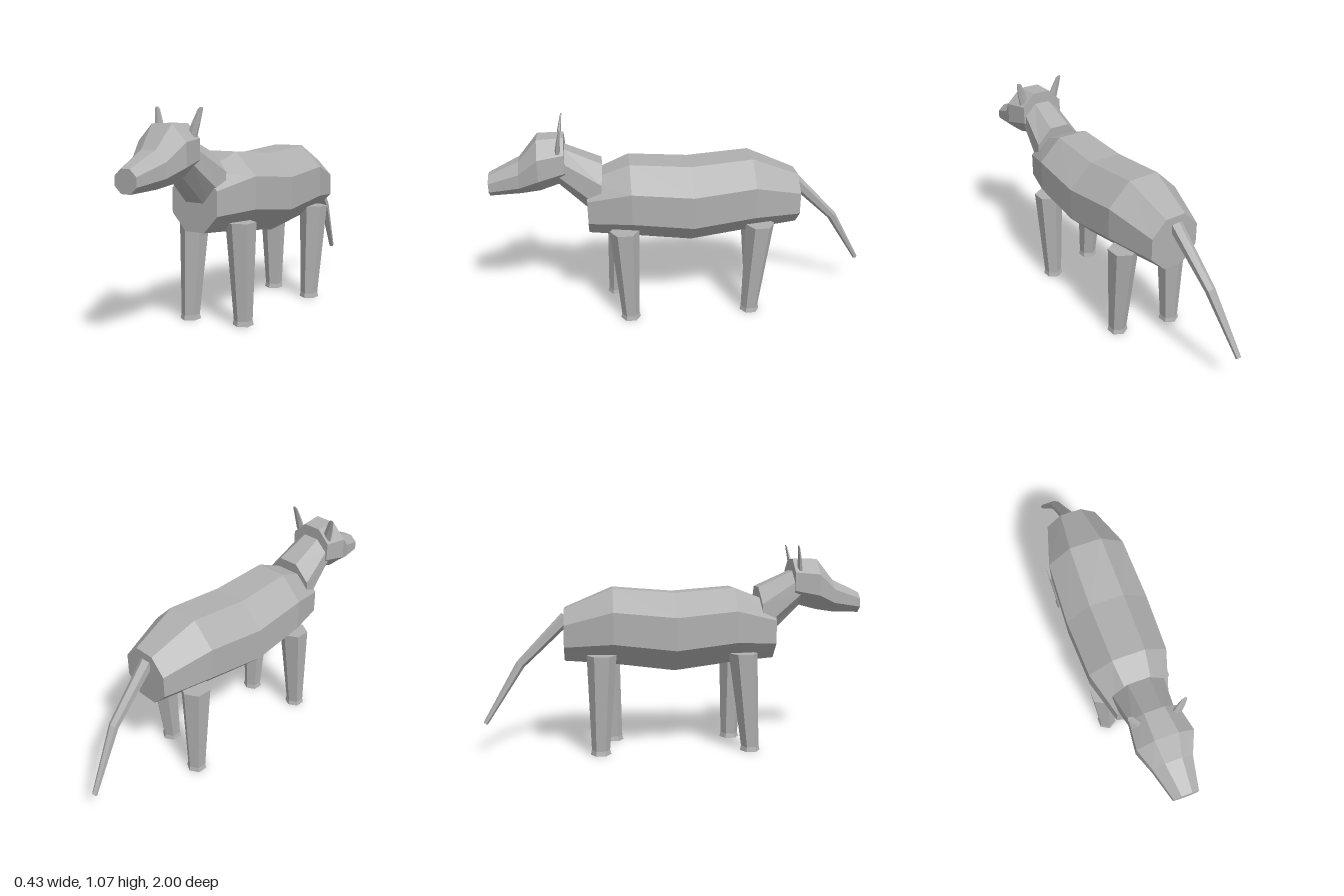
import * as THREE from 'three';

// Skin a row of rings. Each ring: { c: centre, rx: radius along x, v: second radius as a vector }.
// Rings must advance in the direction x cross v.
function loft(rings, sides, phase) {
  const pos = [];
  const idx = [];
  for (const { c, rx, v } of rings) {
    for (let j = 0; j < sides; j++) {
      const a = phase + (j / sides) * Math.PI * 2;
      const s = Math.sin(a);
      pos.push(c[0] + Math.cos(a) * rx, c[1] + s * v[1], c[2] + s * v[2]);
    }
  }
  for (let i = 0; i < rings.length - 1; i++) {
    for (let j = 0; j < sides; j++) {
      const k = (j + 1) % sides;
      const a = i * sides + j, b = i * sides + k;
      idx.push(a, b, b + sides, a, b + sides, a + sides);
    }
  }
  // End caps
  const last = (rings.length - 1) * sides;
  for (let j = 1; j < sides - 1; j++) {
    idx.push(0, j + 1, j);
    idx.push(last, last + j, last + j + 1);
  }
  const g = new THREE.BufferGeometry();
  g.setAttribute('position', new THREE.Float32BufferAttribute(pos, 3));
  g.setIndex(idx);
  const flat = g.toNonIndexed();
  flat.computeVertexNormals();
  return flat;
}

const OCT = Math.PI / 8;
const FLAT = Math.cos(OCT);

// Octagonal ring given by its half width and its top and bottom points
function octRing(x, halfW, yTop, zTop, yBottom, zBottom) {
  return {
    c: [x, (yTop + yBottom) / 2, (zTop + zBottom) / 2],
    rx: halfW / FLAT,
    v: [0, (yTop - yBottom) / 2 / FLAT, (zTop - zBottom) / 2 / FLAT],
  };
}

export function createModel() {
  const grey = new THREE.MeshStandardMaterial({ color: 0xb0b0b0 });
  grey.name = 'plainGrey';
  grey.flatShading = true;

  const group = new THREE.Group();
  group.name = 'animal';
  const add = (name, geometry) => {
    const mesh = new THREE.Mesh(geometry, grey);
    mesh.name = name;
    group.add(mesh);
  };

  // Body, rump to chest: z, half width, top, bottom
  const body = [
    [-0.58, 0.135, 0.75, 0.48],
    [-0.33, 0.203, 0.855, 0.465],
    [-0.01, 0.216, 0.83, 0.425],
    [0.30, 0.203, 0.855, 0.465],
    [0.52, 0.135, 0.77, 0.48],
  ];
  add('body', loft(body.map(([z, w, t, b]) => octRing(0, w, t, z, b, z)), 8, OCT));

  // Neck, tapering up into the head
  add('neck', loft([
    octRing(0, 0.133, 0.855, 0.436, 0.565, 0.462),
    octRing(0, 0.105, 0.94, 0.622, 0.765, 0.665),
  ], 8, OCT));

  // Head, back of skull to nose, turned slightly: x, z, half width, top, bottom
  const head = [
    [0, 0.62, 0.118, 1.0, 0.77],
    [0.009, 0.75, 0.139, 1.0, 0.735],
    [0.014, 0.845, 0.1, 0.89, 0.72],
    [0.025, 1.0, 0.062, 0.82, 0.713],
  ];
  add('head', loft(head.map(([x, z, w, t, b]) => octRing(x, w, t, z, b, z)), 8, OCT));

  // Ears: flat tapered blades leaning outward
  for (const [name, s] of [['leftEar', 1], ['rightEar', -1]]) {
    const x = (d) => 0.006 + s * d;
    add(name, loft([
      { c: [x(0.09), 0.94, 0.65], rx: 0.03, v: [0, 0, -0.014] },
      { c: [x(0.108), 1.0, 0.643], rx: 0.025, v: [0, 0, -0.009] },
      { c: [x(0.126), 1.062, 0.632], rx: 0.016, v: [0, 0, -0.004] },
      { c: [x(0.13), 1.072, 0.63], rx: 0.009, v: [0, 0, -0.003] },
    ], 6, Math.PI / 6));
  }

  // Legs in a slight stride, each with a flared hoof: x, top z, foot z
  const legs = {
    frontLeftLeg: [0.142, 0.34, 0.323],
    frontRightLeg: [-0.143, 0.342, 0.384],
    rearLeftLeg: [0.142, -0.367, -0.327],
    rearRightLeg: [-0.143, -0.39, -0.4],
  };
  for (const [name, [x, zTop, zFoot]] of Object.entries(legs)) {
    const ring = (y, r, z) => ({ c: [x, y, z], rx: r, v: [0, 0, -r] });
    add(name, loft([
      ring(0, 0.053, zFoot),
      ring(0.024, 0.047, zFoot),
      ring(0.518, 0.076, zTop),
    ], 6, Math.PI / 6));
  }

  // Tail, tip to root
  add('tail', loft([
    { c: [-0.072, 0.162, -0.99], rx: 0.014, v: [0, 0.007, -0.01] },
    { c: [-0.03, 0.46, -0.81], rx: 0.026, v: [0, 0.014, -0.02] },
    { c: [-0.008, 0.7, -0.57], rx: 0.034, v: [0, 0.025, -0.025] },
  ], 6, Math.PI / 6));

  return group;
}
